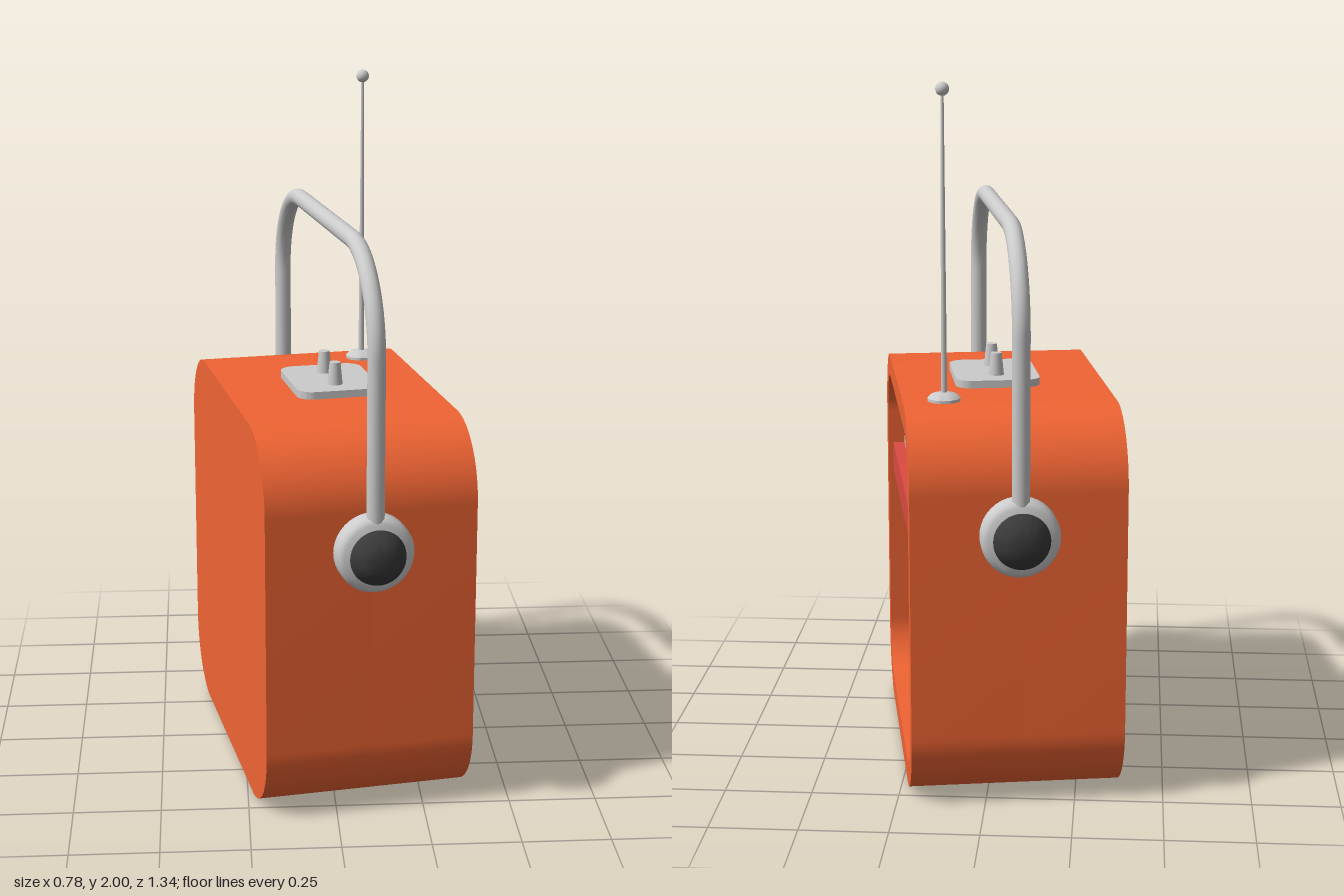
import * as THREE from 'three';
import { toCreasedNormals } from 'three/addons/utils/BufferGeometryUtils.js';

const mat = (color, side = THREE.FrontSide) => new THREE.MeshStandardMaterial({ color, side });
const GREY = mat(0xcccccc), ORANGE = mat(0xf06433), RED = mat(0xdc4a42), BLUE = mat(0x4058b0);
const DARK = mat(0x3a3a3a), GRILLE = mat(0x777777), RAIL = mat(0xaaaaaa);
const CONE = mat(0x444444, THREE.DoubleSide), DOME = mat(0x7c7a78, THREE.DoubleSide);

// Rectangle from y0 to y1, centred on x = 0, with bottom and top corner radii
function roundedRect(w, y0, y1, rb, rt) {
  const h = w / 2, s = new THREE.Shape();
  s.moveTo(-h + rb, y0).lineTo(h - rb, y0);
  if (rb) s.absarc(h - rb, y0 + rb, rb, -Math.PI / 2, 0);
  s.lineTo(h, y1 - rt);
  if (rt) s.absarc(h - rt, y1 - rt, rt, 0, Math.PI / 2);
  s.lineTo(-h + rt, y1);
  if (rt) s.absarc(-h + rt, y1 - rt, rt, Math.PI / 2, Math.PI);
  s.lineTo(-h, y0 + rb);
  if (rb) s.absarc(-h + rb, y0 + rb, rb, Math.PI, Math.PI * 1.5);
  return s;
}

// Extrude a shape between two depths, smooth round the corners
function slab(shape, z0, z1) {
  const g = new THREE.ExtrudeGeometry(shape, { depth: z1 - z0, bevelEnabled: false, curveSegments: 16 });
  return toCreasedNormals(g.translate(0, 0, z0), 0.6);
}

const lathe = (pts, n = 40) => toCreasedNormals(
  new THREE.LatheGeometry(pts.map(p => new THREE.Vector2(...p)), n), 0.7);

export function createModel() {
  const radio = new THREE.Group();
  radio.name = 'portableRadio';
  const add = (name, geometry, material, x = 0, y = 0, z = 0, parent = radio) => {
    const m = new THREE.Mesh(geometry, material);
    m.name = name;
    m.position.set(x, y, z);
    parent.add(m);
    return m;
  };
  const box = (w, h, d) => new THREE.BoxGeometry(w, h, d);

  // Cabinet: solid back half and hollow front half
  const W = 1.117, H = 1.115, IN = 0.985, LOW = 0.066, TOP = 1.05;
  add('cabinetBack', slab(roundedRect(W, 0, H, 0.21, 0.21), -0.3, 0), ORANGE);
  const rim = roundedRect(W, 0, H, 0.21, 0.21);
  rim.holes.push(roundedRect(IN, LOW, TOP, 0.145, 0.145));
  add('cabinetRim', slab(rim, 0, 0.3), ORANGE);

  // Recessed speaker panel, cone and dome
  const panel = roundedRect(IN, LOW, TOP, 0.145, 0.145);
  panel.holes.push(new THREE.Path().absarc(0, 0.455, 0.316, 0, Math.PI * 2));
  add('speakerPanel', slab(panel, 0.13, 0.15), GRILLE);
  add('speakerCone', lathe([[0.316, 0.15], [0.25, 0.08], [0.195, 0.03], [0, 0.03]], 48)
    .rotateX(Math.PI / 2), CONE, 0, 0.455, 0);
  const cap = [];
  for (let i = 0; i <= 10; i++) {
    const a = i / 10 * Math.PI / 2;
    cap.push([0.197 * Math.cos(a), 0.03 + 0.07 * Math.sin(a)]);
  }
  add('speakerDome', lathe(cap, 48).rotateX(Math.PI / 2), DOME, 0, 0.455, 0);

  // Tuning dial with rail, needle and red band
  add('dialPlate', slab(roundedRect(IN, 0.8, TOP, 0, 0.145), 0.15, 0.25), GREY);
  add('redBand', box(IN, 0.09, 0.135), RED, 0, 0.755, 0.2175);
  add('dialRail', box(IN, 0.04, 0.012), RAIL, 0, 0.908, 0.254);
  for (const y of [0.886, 0.908, 0.928]) add('railLine', box(IN, 0.004, 0.004), GRILLE, 0, y, 0.26);
  add('tuningNeedle', box(0.017, 0.145, 0.014), BLUE, 0.119, 0.872, 0.267);
  const tick = (x, y, w, h) => add('dialTick', box(w, h, 0.004), DARK, x, y + h / 2, 0.251);
  for (let i = 0; i <= 70; i++) {
    const bold = i % 12 < 3;
    tick(-0.43 + i * 0.0123, 0.932, bold ? 0.007 : 0.004, bold || i % 4 === 0 ? 0.032 : 0.018);
  }
  for (let i = 0; i < 7; i++) tick(-0.43 + i * 0.0115, 0.842, 0.005, i ? 0.032 : 0.045);

  // Carrying handle with rounded upper corners
  const X = 0.592, Y = 1.615, R = 0.27, k = R * 0.45;
  const v = (x, y) => new THREE.Vector3(x, y, 0);
  const path = new THREE.CurvePath();
  path.add(new THREE.LineCurve3(v(-X, 0.8), v(-X, Y - R)));
  path.add(new THREE.CubicBezierCurve3(v(-X, Y - R), v(-X, Y - k), v(-X + k, Y), v(-X + R, Y)));
  path.add(new THREE.LineCurve3(v(-X + R, Y), v(X - R, Y)));
  path.add(new THREE.CubicBezierCurve3(v(X - R, Y), v(X - k, Y), v(X, Y - k), v(X, Y - R)));
  path.add(new THREE.LineCurve3(v(X, Y - R), v(X, 0.8)));
  add('handle', new THREE.TubeGeometry(path, 120, 0.025, 16, false), GREY);

  // Handle hubs with dark tapered caps on both ends
  for (const s of [-1, 1]) {
    const hub = new THREE.Group();
    hub.name = s > 0 ? 'handleHubA' : 'handleHubB';
    hub.position.set(s * 0.55, 0.795, 0);
    hub.rotation.z = -s * Math.PI / 2;
    radio.add(hub);
    add('hubRing', lathe([[0.11, 0], [0.11, 0.045], [0.104, 0.06], [0.092, 0.068], [0, 0.068]]), GREY, 0, 0, 0, hub);
    add('hubCap', lathe([[0.072, 0.06], [0.079, 0.075], [0.076, 0.086], [0.05, 0.118], [0.03, 0.125], [0, 0.127]]),
      DARK, 0, 0, 0, hub);
  }

  // Control plate with two tapered switches on top
  const plate = slab(roundedRect(0.3, -0.1225, 0.1225, 0.045, 0.045), 0, 0.022).rotateX(-Math.PI / 2);
  add('controlPlate', plate, GREY, 0, H, 0.012);
  for (const x of [-0.07, 0.066])
    add('switch', new THREE.CylinderGeometry(0.016, 0.023, 0.07, 20), GREY, x, 1.167, 0.012);

  // Antenna
  const ax = 0.293, az = 0.183;
  add('antennaBase', lathe([[0.047, 0], [0.047, 0.008], [0.036, 0.018], [0.015, 0.024], [0, 0.025]], 32), GREY, ax, H, az);
  add('antennaRod', new THREE.CylinderGeometry(0.004, 0.009, 0.85, 12), GREY, ax, 1.553, az);
  add('antennaTip', new THREE.SphereGeometry(0.019, 20, 14), GREY, ax, 1.981, az);

  // The cabinet stands turned, its dial facing mostly sideways
  radio.rotation.y = THREE.MathUtils.degToRad(99.8);
  const model = new THREE.Group();
  model.name = 'radioModel';
  model.add(radio);
  return model;
}
